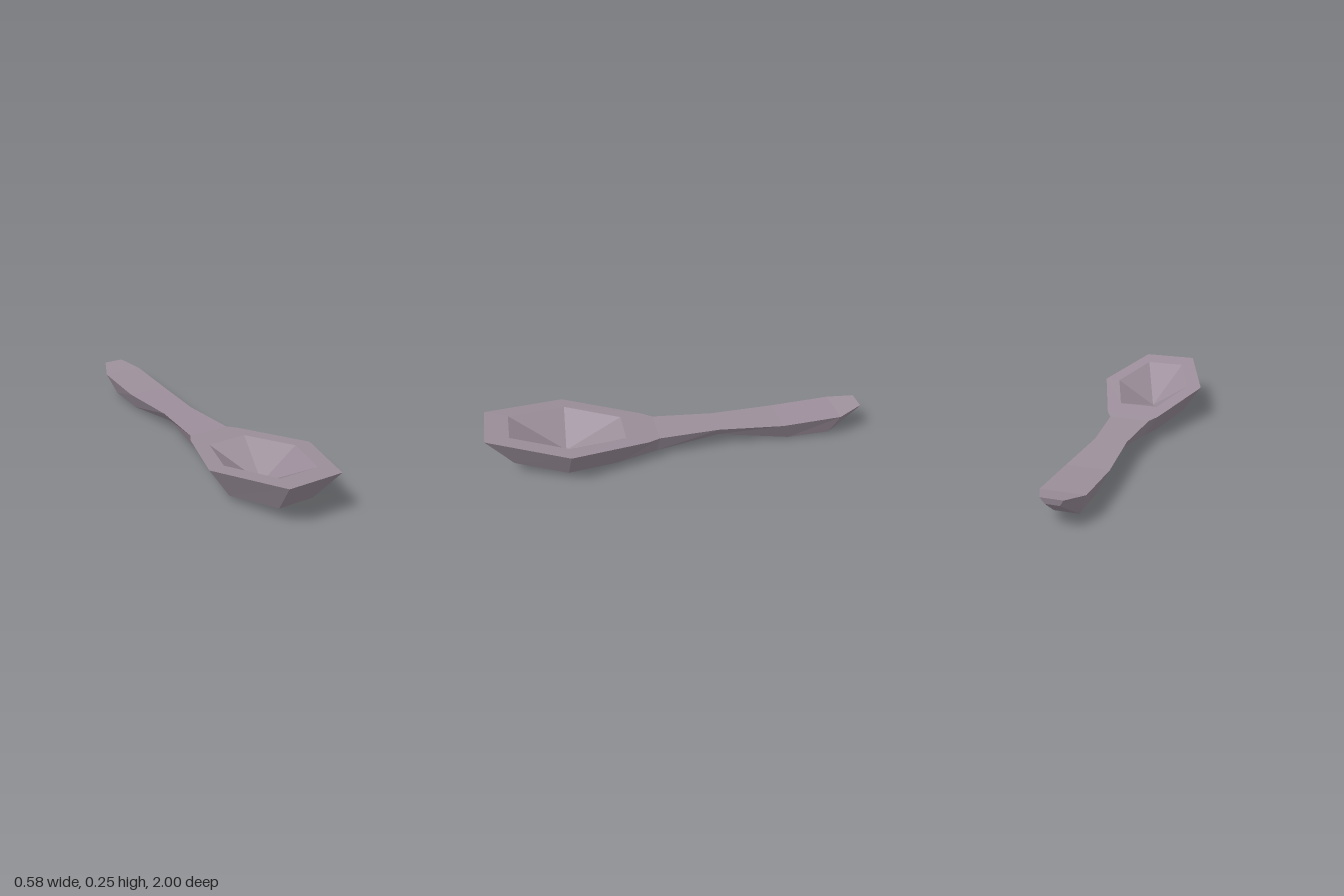
import * as THREE from 'three';

// Stations from front to back: [half width, y, z] of the top edge, then of the bottom edge
const stations = [
  [[0.145, 0.245, 1], [0.095, 0.07, 0.87]],
  [[0.29, 0.19, 0.59], [0.187, 0.035, 0.605]],
  [[0.145, 0.137, 0.18], [0.095, 0, 0.34]],
  [[0.11, 0.13, 0.12], [0.068, 0.03, 0.13]],
  [[0.085, 0.126, -0.2], [0.042, 0.07, -0.21]],
  [[0.11, 0.12, -0.55], [0.056, 0.01, -0.6]],
  [[0.11, 0.137, -0.87], [0.062, 0.02, -0.83]],
  [[0.055, 0.163, -1], [0.035, 0.13, -0.99]],
];

// Half of the hollow's rim and its deepest point
const rim = [[0.105, 0.23, 0.88], [0.207, 0.19, 0.585], [0.105, 0.151, 0.295]];
const apex = [0, 0.05, 0.6];

const mirror = ([x, y, z]) => [-x, y, z];
const quad = (a, b, c, d) => [a, b, c, a, c, d];

// Four corners of a section: top left, top right, bottom right, bottom left
const sections = stations.map(([t, b]) => [t, mirror(t), mirror(b), b]);

// Skin between neighbouring sections; firstSide 1 leaves the top open
function skin(from, to, firstSide) {
  const tris = [];
  for (let s = from; s < to; s++) {
    const a = sections[s], b = sections[s + 1];
    for (let k = firstSide; k < 4; k++) {
      const n = (k + 1) % 4;
      tris.push(...quad(a[k], b[k], b[n], a[n]));
    }
  }
  return tris;
}

// Closed hexagon from its left half
const hexagon = (half) => [...half, ...half.map(mirror).reverse()];

function facetedMesh(name, points, material) {
  const geometry = new THREE.BufferGeometry();
  geometry.setAttribute('position', new THREE.Float32BufferAttribute(points.flat(), 3));
  geometry.computeVertexNormals();
  const mesh = new THREE.Mesh(geometry, material);
  mesh.name = name;
  return mesh;
}

export function createModel() {
  const model = new THREE.Group();
  model.name = 'spoon';
  const material = new THREE.MeshStandardMaterial({ color: 0x9c8f9b });
  material.name = 'mauve grey';

  const outer = hexagon(stations.slice(0, 3).map(([t]) => t));
  const inner = hexagon(rim);

  // Bowl: outside walls, front wall and flat rim
  const bowl = [...skin(0, 2, 1), ...quad(...sections[0])];
  const hollow = [];
  outer.forEach((corner, i) => {
    const n = (i + 1) % outer.length;
    bowl.push(...quad(corner, outer[n], inner[n], inner[i]));
    hollow.push(inner[i], inner[n], apex);
  });

  // Handle with its small end face
  const handle = [...skin(2, sections.length - 1, 0), ...quad(...[...sections.at(-1)].reverse())];

  model.add(
    facetedMesh('bowl', bowl, material),
    facetedMesh('bowlHollow', hollow, material),
    facetedMesh('handle', handle, material),
  );
  return model;
}
